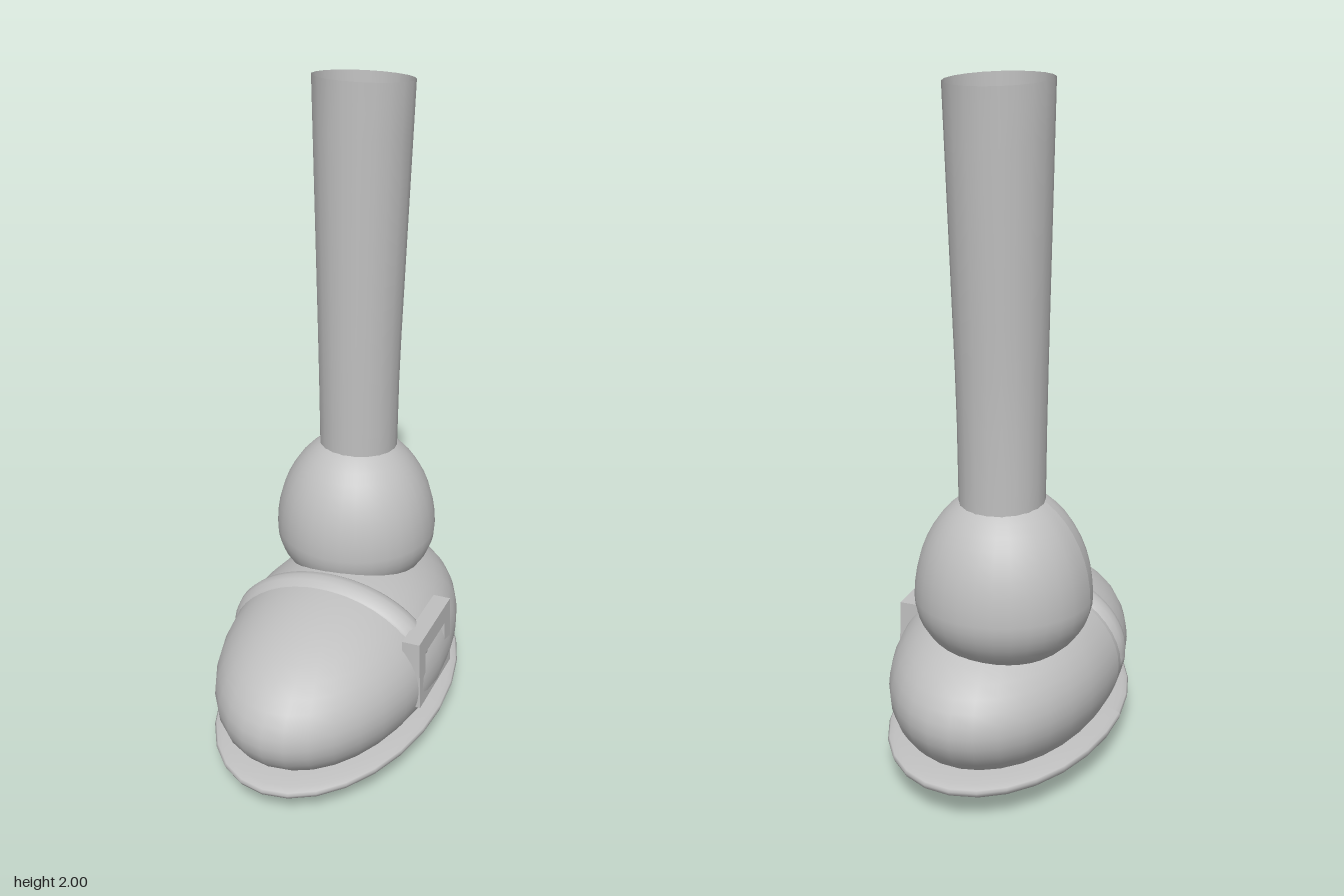
import * as THREE from 'three';

const grey = new THREE.MeshStandardMaterial({ color: 0xc0c0c0, side: THREE.DoubleSide });
grey.name = 'plain grey';

// Ellipsoid whose upper and lower halves may differ in height
function egg(rx, up, down, rz, w = 32, h = 24) {
  const g = new THREE.SphereGeometry(1, w, h);
  const p = g.attributes.position;
  for (let i = 0; i < p.count; i++) {
    const y = p.getY(i);
    p.setXYZ(i, p.getX(i) * rx, y * (y > 0 ? up : down), p.getZ(i) * rz);
  }
  g.computeVertexNormals();
  return g;
}

export function createModel() {
  const model = new THREE.Group();
  const add = (name, geometry, x, y, z, parent = model) => {
    const mesh = new THREE.Mesh(geometry, grey);
    mesh.name = name;
    mesh.position.set(x, y, z);
    parent.add(mesh);
    return mesh;
  };

  // Shoe and its thin, rounded sole
  add('sole', egg(0.345, 0.038, 0.085, 0.575, 28, 20), 0, 0.1, 0);
  add('shoe', egg(0.336, 0.257, 0.258, 0.57), 0, 0.258, 0);

  // Cuff ball at the ankle
  add('ankleBall', egg(0.255, 0.325, 0.2, 0.255), -0.05, 0.56, -0.237);

  // Open leg tube, flaring backwards and outwards, with a slanted top rim
  const leg = new THREE.CylinderGeometry(1, 1, 1, 20, 8, true);
  const p = leg.attributes.position;
  for (let i = 0; i < p.count; i++) {
    const t = p.getY(i) + 0.5;
    const flare = Math.max(0, (t - 0.3) / 0.7);
    const r = 0.121 + 0.004 * Math.min(1, t / 0.3) + 0.023 * flare;
    const s = p.getZ(i);
    const slant = t * (-0.0165 * (1 - s));
    p.setXYZ(i, p.getX(i) * r, 0.76 + 1.24 * t + slant, -0.251 - 0.019 * flare + s * r);
  }
  leg.computeVertexNormals();
  // Keep the shading continuous across the tube's seam
  const n = leg.attributes.normal;
  for (let row = 0; row <= 8; row++) {
    const a = row * 21, b = a + 20;
    const v = new THREE.Vector3().fromBufferAttribute(n, a)
      .add(new THREE.Vector3().fromBufferAttribute(n, b)).normalize();
    n.setXYZ(a, v.x, v.y, v.z);
    n.setXYZ(b, v.x, v.y, v.z);
  }
  add('leg', leg, -0.05, 0, 0);

  // Rounded strap arching over the instep
  const strap = new THREE.Group();
  strap.name = 'strap';
  model.add(strap);
  const arc = [];
  for (let i = 0; i <= 12; i++) {
    const a = THREE.MathUtils.degToRad(25 + (160 * i) / 12);
    arc.push(new THREE.Vector3(0.282 * Math.cos(a), 0.28 + 0.19 * Math.sin(a), 0.06));
  }
  add('strapBand', new THREE.TubeGeometry(new THREE.CatmullRomCurve3(arc), 40, 0.06, 16), 0, 0, 0, strap);
  for (const e of [arc[0], arc[12]]) {
    add('strapEnd', new THREE.SphereGeometry(0.06, 16, 12), e.x, e.y, e.z, strap);
  }

  // Buckle frame, partly sunk into the side of the shoe
  const rect = (s, x0, y0, x1, y1) => {
    s.moveTo(x0, y0);
    s.lineTo(x1, y0);
    s.lineTo(x1, y1);
    s.lineTo(x0, y1);
    s.closePath();
    return s;
  };
  const frame = rect(new THREE.Shape(), -0.135, -0.115, 0.135, 0.115);
  frame.holes.push(rect(new THREE.Path(), -0.085, -0.065, 0.085, 0.055));
  const buckle = new THREE.ExtrudeGeometry(frame, { depth: 0.055, bevelEnabled: false });
  buckle.translate(0, 0, -0.0275);
  buckle.rotateY(Math.PI / 2);
  buckle.rotateZ(0.04);
  add('buckle', buckle, 0.297, 0.315, 0.015);

  return model;
}
